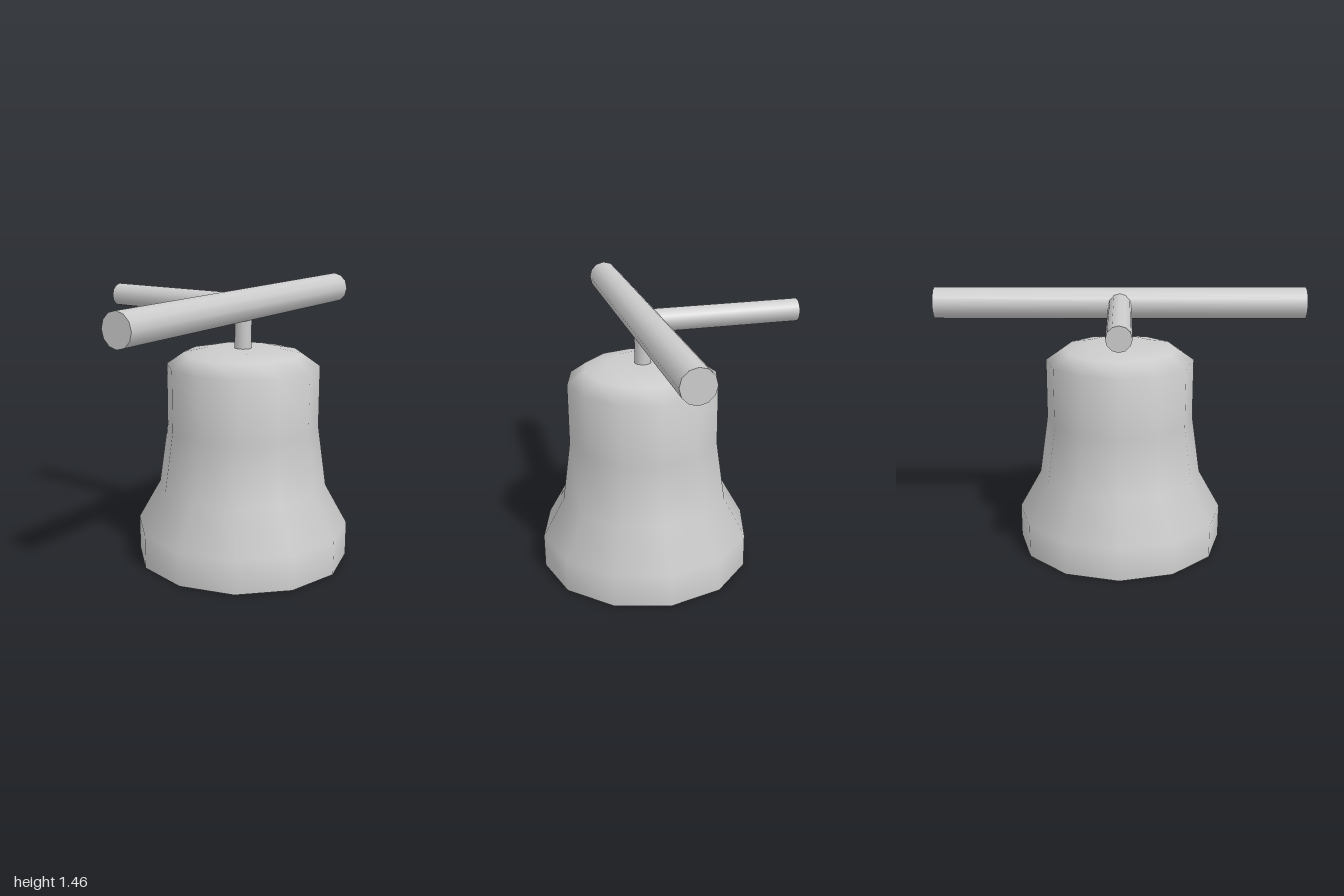
import * as THREE from 'three';

const SIDES = 12;
const AXIS_X = 0.135; // centre line of the bell and beam

export function createModel() {
  const model = new THREE.Group();
  const material = new THREE.MeshStandardMaterial({ color: 0xcccccc });

  const add = (name, geometry, x, y, z) => {
    const mesh = new THREE.Mesh(geometry, material);
    mesh.name = name;
    mesh.position.set(x, y, z);
    model.add(mesh);
    return mesh;
  };
  const rod = (radius, length) => new THREE.CylinderGeometry(radius, radius, length, SIDES);

  // Bell body: straight lip, flared waist, rounded shoulder
  const profile = [
    [0.575, 0], [0.575, 0.185], [0.455, 0.4], [0.408, 0.73],
    [0.408, 1.06], [0.315, 1.125], [0.19, 1.15], [0, 1.15],
  ].map(([r, y]) => new THREE.Vector2(r, y));
  add('bellBody', new THREE.LatheGeometry(profile, SIDES), AXIS_X, 0, 0);

  // Flat underside
  add('bellBase', new THREE.CircleGeometry(0.575, SIDES).rotateX(Math.PI / 2), AXIS_X, 0, 0);

  // Short post joining the bell to the beam
  add('hangingPost', rod(0.045, 0.22), AXIS_X, 1.25, 0);

  // Long beam running front to back
  add('crossBeam', rod(0.087, 2).rotateX(Math.PI / 2), AXIS_X, 1.375, 0);

  // Thinner arm reaching out to the right, its inner end buried in the beam
  add('sideArm', rod(0.0625, 0.85).rotateZ(Math.PI / 2), -0.29, 1.374, 0);

  return model;
}
